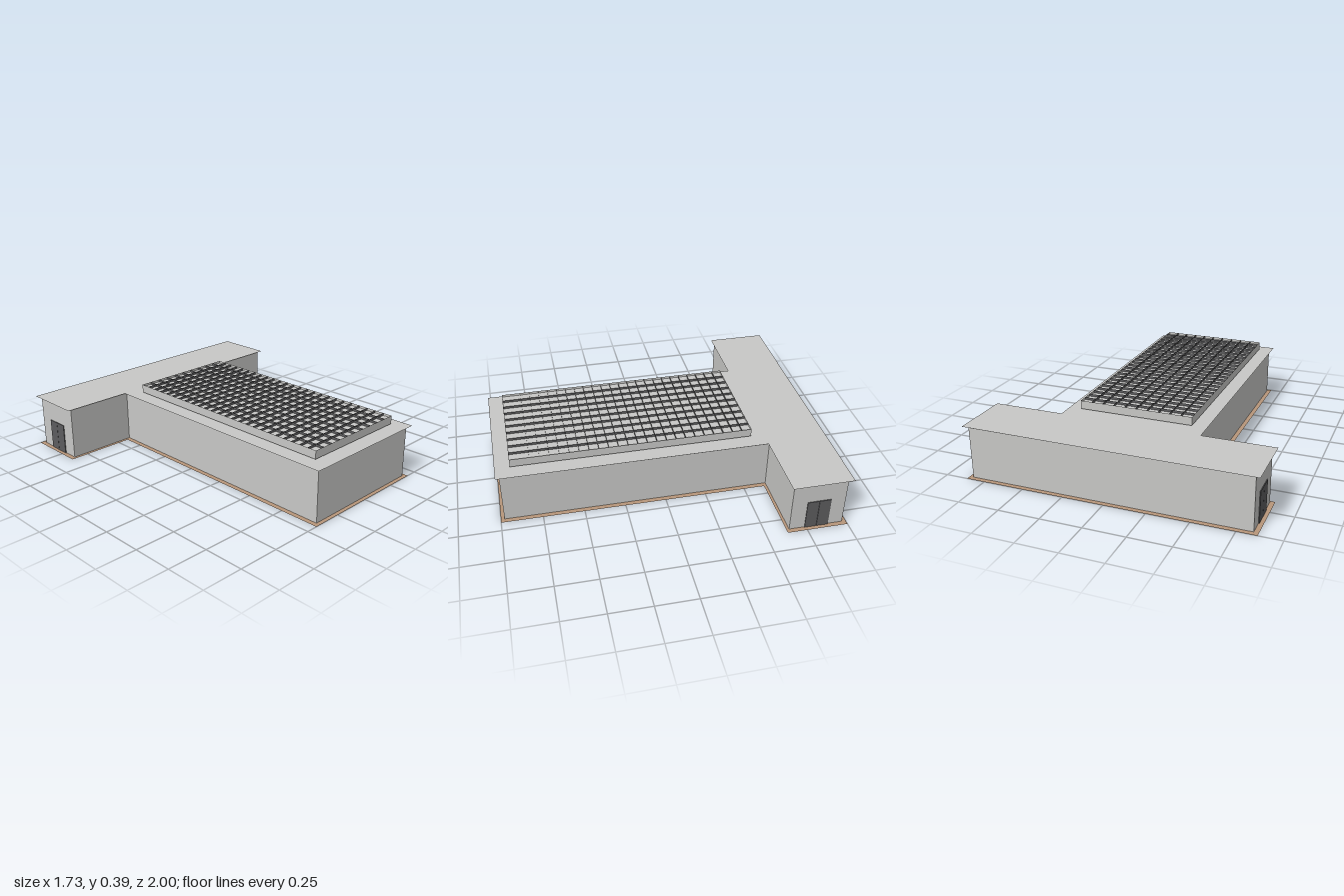
import * as THREE from 'three';

const paint = (name, color, side = THREE.FrontSide) =>
  new THREE.MeshStandardMaterial({ name, color, side });

// T-shaped plan: wide bar at the back, long stem running to the front
function planShape(barX, stemX, back, inner, front) {
  const points = [
    [-stemX, front], [stemX, front], [stemX, inner], [barX, inner],
    [barX, back], [-barX, back], [-barX, inner], [-stemX, inner],
  ];
  return new THREE.Shape(points.map(([x, z]) => new THREE.Vector2(x, -z)));
}

export function createModel() {
  const group = new THREE.Group();
  const concrete = paint('light grey concrete', 0xc8c8c6);
  const sheet = paint('light grey roof sheet', 0xc8c8c6, THREE.DoubleSide);
  const ground = paint('brown floor', 0xb8967a, THREE.DoubleSide);
  const dark = paint('dark grey metal', 0x5c5c5e, THREE.DoubleSide);

  function add(name, geometry, material, x = 0, y = 0, z = 0, parent = group) {
    const mesh = new THREE.Mesh(geometry, material);
    mesh.name = name;
    mesh.position.set(x, y, z);
    parent.add(mesh);
    return mesh;
  }

  // Thin floor and roof overhang the walls by the same margin
  const slab = new THREE.ShapeGeometry(planShape(0.865, 0.43, -1, -0.63, 1)).rotateX(-Math.PI / 2);
  add('floor', slab, ground);
  add('roof', slab, sheet, 0, 0.328, 0);

  // Walls
  const walls = new THREE.ExtrudeGeometry(planShape(0.838, 0.403, -0.974, -0.646, 0.978),
    { depth: 0.324, bevelEnabled: false }).rotateX(-Math.PI / 2);
  add('walls', walls, concrete, 0, 0.002, 0);

  // Double doors at both ends of the bar
  for (const side of [-1, 1]) {
    for (const leaf of [-1, 1]) {
      add('doorLeaf', new THREE.BoxGeometry(0.006, 0.188, 0.071), dark,
        side * 0.84, 0.096, -0.812 + leaf * 0.0365);
    }
  }

  // Raised skylight on a low plinth
  const skylight = new THREE.Group();
  skylight.name = 'skylight';
  skylight.position.set(-0.002, 0, 0.182);
  group.add(skylight);
  const width = 0.692, length = 1.455, top = 0.39, rib = 0.015;
  add('plinth', new THREE.BoxGeometry(0.51, 0.014, 1.28), concrete, 0, 0.334, -0.012, skylight);
  add('skylightDeck', new THREE.BoxGeometry(width, 0.036, length), concrete, 0, 0.357, 0, skylight);

  // Rim and lattice of thin upright ribs over the deck
  const columns = 10, rows = 25;
  const longRib = new THREE.PlaneGeometry(length, rib).rotateY(Math.PI / 2);
  const crossRib = new THREE.PlaneGeometry(width, rib);
  for (let i = 0; i <= columns; i++) {
    const rim = i === 0 || i === columns;
    add(rim ? 'sideRim' : 'longRib', longRib, rim ? sheet : dark,
      (i / columns - 0.5) * width, top - rib / 2, 0, skylight);
  }
  for (let j = 0; j <= rows; j++) {
    const rim = j === 0 || j === rows;
    add(rim ? 'endRim' : 'crossRib', crossRib, rim ? sheet : dark,
      0, top - rib / 2, (j / rows - 0.5) * length, skylight);
  }

  return group;
}
